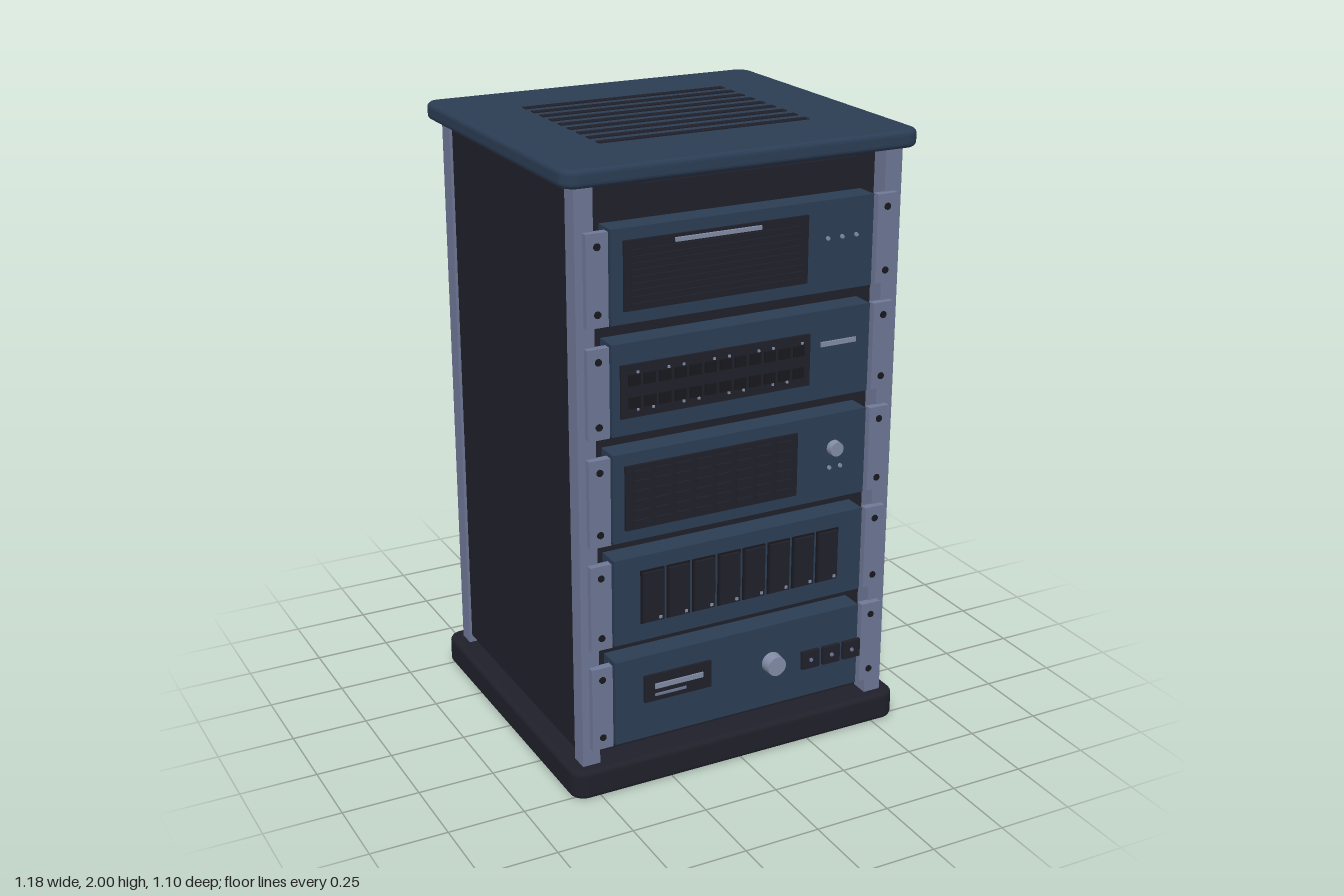
import * as THREE from 'three';

const mat = (name, color) => {
  const m = new THREE.MeshStandardMaterial({ color });
  m.name = name;
  return m;
};

export function createModel() {
  const blue = mat('slate blue', 0x2b3d54);
  const dark = mat('charcoal', 0x20202a);
  const steel = mat('steel', 0x6e7896);
  const light = mat('pale steel', 0x828ca6);
  const black = mat('near black', 0x17171d);
  const model = new THREE.Group();
  model.name = 'equipmentRack';

  const add = (parent, name, geo, material, x, y, z) => {
    const mesh = new THREE.Mesh(geo, material);
    mesh.name = name;
    mesh.position.set(x, y, z);
    parent.add(mesh);
    return mesh;
  };
  // Box given by centre x, y and its back and front z
  const plate = (parent, name, material, x, y, w, h, z0, z1) =>
    add(parent, name, new THREE.BoxGeometry(w, h, z1 - z0), material, x, y, (z0 + z1) / 2);
  // Disc or knob facing the front
  const disc = (parent, name, material, x, y, r, z0, z1, sides = 12) =>
    add(parent, name, new THREE.CylinderGeometry(r * 0.93, r, z1 - z0, sides).rotateX(Math.PI / 2),
      material, x, y, (z0 + z1) / 2);

  // Horizontal slab with rounded corners and soft rims
  const slab = (name, material, y0, y1, bevel) => {
    const w = 0.59 - bevel, d = 0.5415 - bevel, r = 0.05 - bevel, q = Math.PI / 2;
    const s = new THREE.Shape();
    [[w - r, d - r], [r - w, d - r], [r - w, r - d], [w - r, r - d]].forEach(([x, y], i) =>
      s.absarc(x, y, r, i * q, (i + 1) * q, false));
    s.closePath();
    const geo = new THREE.ExtrudeGeometry(s, {
      depth: y1 - y0 - 2 * bevel, bevelThickness: bevel, bevelSize: bevel, bevelSegments: 4, curveSegments: 8,
    });
    geo.rotateX(-Math.PI / 2);
    add(model, name, geo, material, 0, y0 + bevel, -0.0075);
  };
  slab('base', dark, 0, 0.097, 0.016);
  slab('lid', blue, 1.942, 1.998, 0.016);

  // Lid vents
  for (let i = 0; i < 9; i++) {
    add(model, 'lidVent', new THREE.BoxGeometry(0.71, 0.008, 0.028), dark, 0, 1.997, -0.279 + i * 0.0665);
  }
  plate(model, 'lidFrontStrip', dark, 0, 1.938, 0.71, 0.006, 0.53, 0.541);

  // Cabinet body, outer panels and corner posts
  plate(model, 'cabinetCore', dark, 0, 1.02, 1.04, 1.86, -0.445, 0.432);
  plate(model, 'backPanel', dark, 0, 1.02, 0.97, 1.79, -0.455, -0.444);
  for (const s of [-1, 1]) {
    plate(model, 'sidePanel', dark, s * 0.526, 1.02, 0.022, 1.79, -0.438, 0.434);
    for (const z of [-0.47, 0.465]) {
      plate(model, 'cornerPost', steel, s * 0.5165, 1.02, 0.059, 1.86, z - 0.03, z + 0.03);
    }
  }

  // Rack unit: front panel, mounting ears and screws
  const F = 0.51;
  const unit = (name, y) => {
    const g = new THREE.Group();
    g.name = name;
    g.position.y = y;
    model.add(g);
    plate(g, 'facePanel', blue, 0, 0, 0.88, 0.285, 0.43, F);
    for (const s of [-1, 1]) {
      plate(g, 'mountingEar', steel, s * 0.486, 0, 0.07, 0.28, 0.49, 0.516);
      for (const sy of [-1, 1]) disc(g, 'earScrew', black, s * 0.486, sy * 0.1, 0.012, 0.51, 0.519, 10);
    }
    return g;
  };
  const leds = (g, xs, y) => xs.forEach((x) => disc(g, 'indicator', light, x, y, 0.007, F, F + 0.006, 8));

  // Unit with slatted grille
  const server = unit('grilleUnit', 1.668);
  plate(server, 'grille', dark, -0.097, 0.002, 0.61, 0.21, F, 0.519);
  for (let i = 0; i < 9; i++) {
    plate(server, 'grilleSlat', dark, -0.097, -0.085 + i * 0.02, 0.57, 0.009, 0.518, 0.525);
  }
  plate(server, 'lightStrip', light, -0.098, 0.092, 0.285, 0.012, 0.519, 0.527);
  leds(server, [0.28, 0.33, 0.38], 0.025);

  // Unit with two rows of sockets
  const patch = unit('socketUnit', 1.325);
  plate(patch, 'socketPanel', dark, -0.095, -0.005, 0.64, 0.165, F, 0.518);
  for (let i = 0; i < 12; i++) {
    const x = -0.373 + i * 0.0505;
    for (const [y, s] of [[0.03, 1], [-0.04, -1]]) {
      plate(patch, 'socket', black, x, y, 0.038, 0.034, 0.518, 0.524);
      if ((i * 5 + s) % 3) plate(patch, 'socketLight', light, x + 0.012, y + s * 0.023, 0.007, 0.007, 0.518, 0.523);
    }
  }
  plate(patch, 'labelBar', light, 0.328, 0.035, 0.125, 0.015, F, 0.516);

  // Unit with mesh grille and small knob
  const mesh = unit('meshUnit', 0.982);
  plate(mesh, 'meshPanel', dark, -0.107, 0, 0.592, 0.207, F, 0.519);
  for (let r = 0; r < 6; r++) {
    for (let c = 0; c < 8; c++) {
      plate(mesh, 'meshSlot', dark, -0.352 + c * 0.07, -0.08 + r * 0.032, 0.052, 0.015, 0.518, 0.526);
    }
  }
  disc(mesh, 'smallKnob', light, 0.325, 0.03, 0.025, F, 0.533, 20);
  leds(mesh, [0.31, 0.35], -0.035);

  // Unit with eight drive bays
  const drives = unit('driveUnit', 0.64);
  for (let i = 0; i < 8; i++) {
    const x = -0.312 + i * 0.089;
    plate(drives, 'driveRim', black, x, 0.005, 0.08, 0.178, F, 0.514);
    plate(drives, 'driveBay', dark, x, 0.005, 0.069, 0.167, 0.513, 0.523);
    plate(drives, 'driveLight', light, x + 0.022, -0.068, 0.009, 0.009, 0.523, 0.527);
  }

  // Unit with display, dial and buttons
  const control = unit('controlUnit', 0.297);
  plate(control, 'display', dark, -0.225, 0.03, 0.235, 0.092, F, 0.519);
  plate(control, 'displayBar', light, -0.223, 0.036, 0.17, 0.017, 0.519, 0.524);
  plate(control, 'displaySmallBar', steel, -0.253, 0.006, 0.11, 0.008, 0.519, 0.523);
  disc(control, 'dial', light, 0.116, 0.012, 0.035, F, 0.548, 28);
  for (const x of [0.258, 0.336, 0.413]) {
    plate(control, 'button', dark, x, -0.009, 0.064, 0.062, F, 0.523);
    disc(control, 'buttonDot', steel, x, -0.009, 0.007, 0.523, 0.527, 8);
  }
  return model;
}
